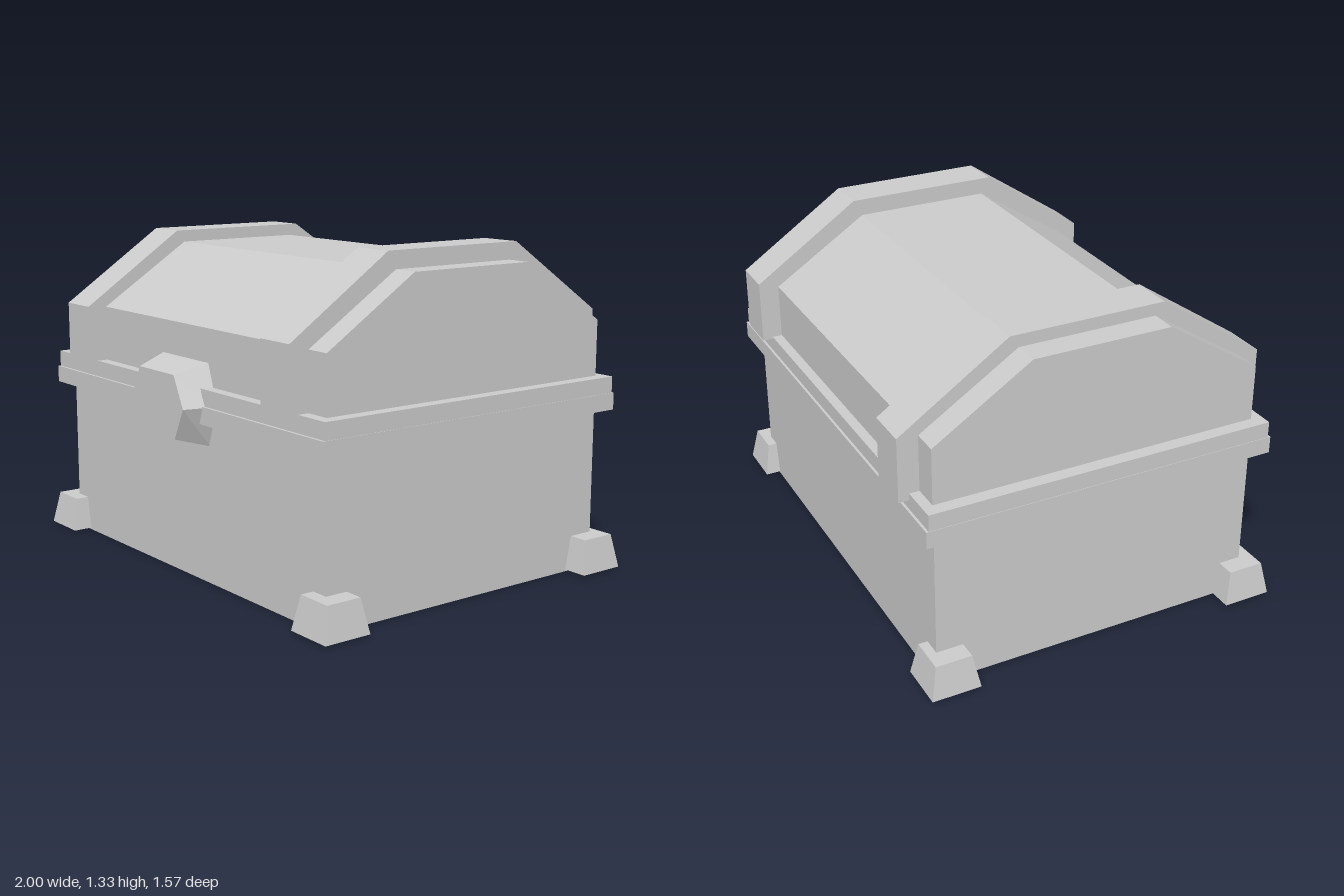
import * as THREE from 'three';

const material = new THREE.MeshStandardMaterial({ color: 0xcccccc, flatShading: true });

function addMesh(parent, name, geometry) {
  const mesh = new THREE.Mesh(geometry, material);
  mesh.name = name;
  parent.add(mesh);
  return mesh;
}

// Box given by its limits on each axis
function boxBetween(x0, x1, y0, y1, z0, z1) {
  return new THREE.BoxGeometry(x1 - x0, y1 - y0, z1 - z0)
    .translate((x0 + x1) / 2, (y0 + y1) / 2, (z0 + z1) / 2);
}

// Extrude a [z, y] profile along x
function profileAlongX(points, x0, x1) {
  const shape = new THREE.Shape(points.map(([z, y]) => new THREE.Vector2(-z, y)));
  return new THREE.ExtrudeGeometry(shape, { depth: x1 - x0, bevelEnabled: false })
    .rotateY(Math.PI / 2).translate(x0, 0, 0);
}

// Faceted arch, symmetrical about the chest's middle
function archProfile(mid, halfDepth, halfTop, bottom, shoulder, top) {
  return [
    [mid + halfDepth, bottom], [mid + halfDepth, shoulder], [mid + halfTop, top],
    [mid - halfTop, top], [mid - halfDepth, shoulder], [mid - halfDepth, bottom],
  ];
}

// Corner foot: a box with its top drawn in
function footGeometry() {
  const geometry = new THREE.BoxGeometry(0.2, 0.135, 0.2);
  const p = geometry.attributes.position;
  for (let i = 0; i < p.count; i++) {
    if (p.getY(i) > 0) p.setXYZ(i, p.getX(i) * 0.76, p.getY(i), p.getZ(i) * 0.74);
  }
  return geometry;
}

// Hexagonal clasp: a six-sided frustum tapering towards the front
function claspGeometry() {
  const geometry = new THREE.CylinderGeometry(1, 1, 0.135, 6).toNonIndexed();
  geometry.rotateY(Math.PI / 6).rotateX(Math.PI / 2);
  const p = geometry.attributes.position;
  for (let i = 0; i < p.count; i++) {
    const front = p.getZ(i) > 0;
    const side = Math.abs(p.getY(i)) < 0.1;
    const sx = Math.sign(p.getX(i)), sy = Math.sign(p.getY(i));
    if (Math.hypot(p.getX(i), p.getY(i)) < 0.1) continue;
    if (side) p.setXY(i, sx * (front ? 0.186 : 0.218), 0);
    else p.setXY(i, sx * (front ? 0.124 : 0.163), sy * (front ? 0.125 : 0.163));
  }
  geometry.computeVertexNormals();
  return geometry;
}

export function createModel() {
  const chest = new THREE.Group();
  chest.name = 'chest';
  const midZ = -0.024;

  // Body and the stepped rim
  addMesh(chest, 'body', boxBetween(-0.9, 0.893, 0, 0.66, -0.697, 0.653));
  addMesh(chest, 'lowerRim', boxBetween(-0.956, 0.946, 0.648, 0.717, -0.75, 0.708));
  addMesh(chest, 'upperRim', boxBetween(-0.954, 0.944, 0.717, 0.783, -0.74, 0.697));

  // Faceted lid
  addMesh(chest, 'lid', profileAlongX(archProfile(midZ, 0.675, 0.282, 0.75, 1.008, 1.26), -0.9, 0.893));

  // Straps over the lid, one sitting slightly lower
  for (const [name, x0, x1, drop] of [['leftStrap', 0.618, 0.79, 0], ['rightStrap', -0.793, -0.62, 0.02]]) {
    addMesh(chest, name, profileAlongX(
      archProfile(midZ, 0.758, 0.318, 0.775 - drop, 1.034 - drop, 1.329 - drop), x0, x1));
  }

  // Clasp on the front
  addMesh(chest, 'clasp', claspGeometry()).position.set(-0.005, 0.712, 0.716);

  // Feet at the four corners
  const foot = footGeometry();
  for (const x of [-0.9, 0.895]) {
    for (const z of [-0.661, 0.634]) {
      addMesh(chest, 'foot', foot).position.set(x, 0.0745, z);
    }
  }
  return chest;
}
